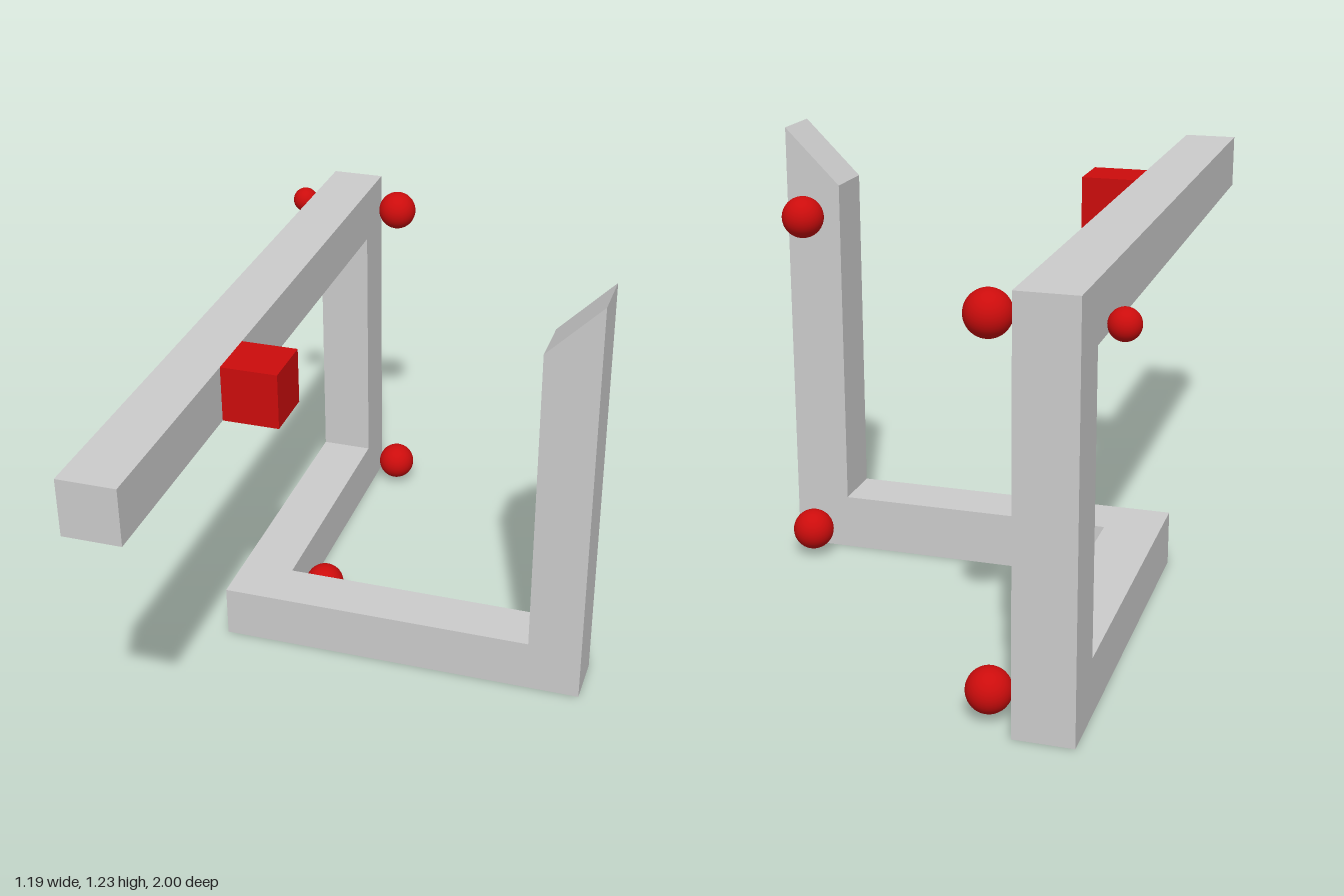
import * as THREE from 'three';

const W = 0.154; // bar thickness
const H = W / 2;
const TOP = 1.078; // top of the upper beam
const INNER = -0.328; // inner side of the long frame
const OUTER = 0.594; // far side of the post

export function createModel() {
  const group = new THREE.Group();
  const grey = new THREE.MeshStandardMaterial({ color: 0xcccccc });
  const red = new THREE.MeshStandardMaterial({ color: 0xcc0c0c });

  const add = (name, geometry, material, x, y, z) => {
    const mesh = new THREE.Mesh(geometry, material);
    mesh.name = name;
    mesh.position.set(x, y, z);
    group.add(mesh);
    return mesh;
  };
  const extrude = (points) => new THREE.ExtrudeGeometry(
    new THREE.Shape(points.map(([x, y]) => new THREE.Vector2(x, y))),
    { depth: W, bevelEnabled: false });

  // Long frame: floor bar, rear upright and upper beam, outlined in z and y
  const frame = extrude([
    [-1, 0], [H, 0], [H, W], [-1 + W, W],
    [-1 + W, TOP - W], [1, TOP - W], [1, TOP], [-1, TOP],
  ]);
  add('sideFrame', frame, grey, INNER, 0, 0).rotation.y = -Math.PI / 2;

  // Cross bar and post with a slanted top, outlined in x and y
  const cross = extrude([
    [INNER, 0], [OUTER, 0], [OUTER, TOP + W],
    [OUTER - W, TOP], [OUTER - W, W], [INNER, W],
  ]);
  add('crossBarAndPost', cross, grey, 0, 0, -H);

  // Cube on the inner side of the upper beam
  add('cube', new THREE.BoxGeometry(W, W, W), red, INNER + H, TOP - H, 2 * W);

  // Balls resting against the bars at the corners
  const ball = new THREE.SphereGeometry(0.0575, 32, 24);
  const near = -W, far = -1 + H, high = TOP - H;
  const balls = {
    postTopBall: [OUTER - H, high, near],
    postBottomBall: [OUTER - H, H, near],
    cornerBall: [INNER + H, H, near],
    rearBottomBall: [INNER + H, H, far],
    rearTopBall: [INNER + H, high, far],
  };
  for (const [name, p] of Object.entries(balls)) add(name, ball, red, ...p);

  // Smaller ball on the outer side
  add('smallBall', new THREE.SphereGeometry(0.0385, 32, 24), red, INNER - 1.5 * W, high, far);

  return group;
}
